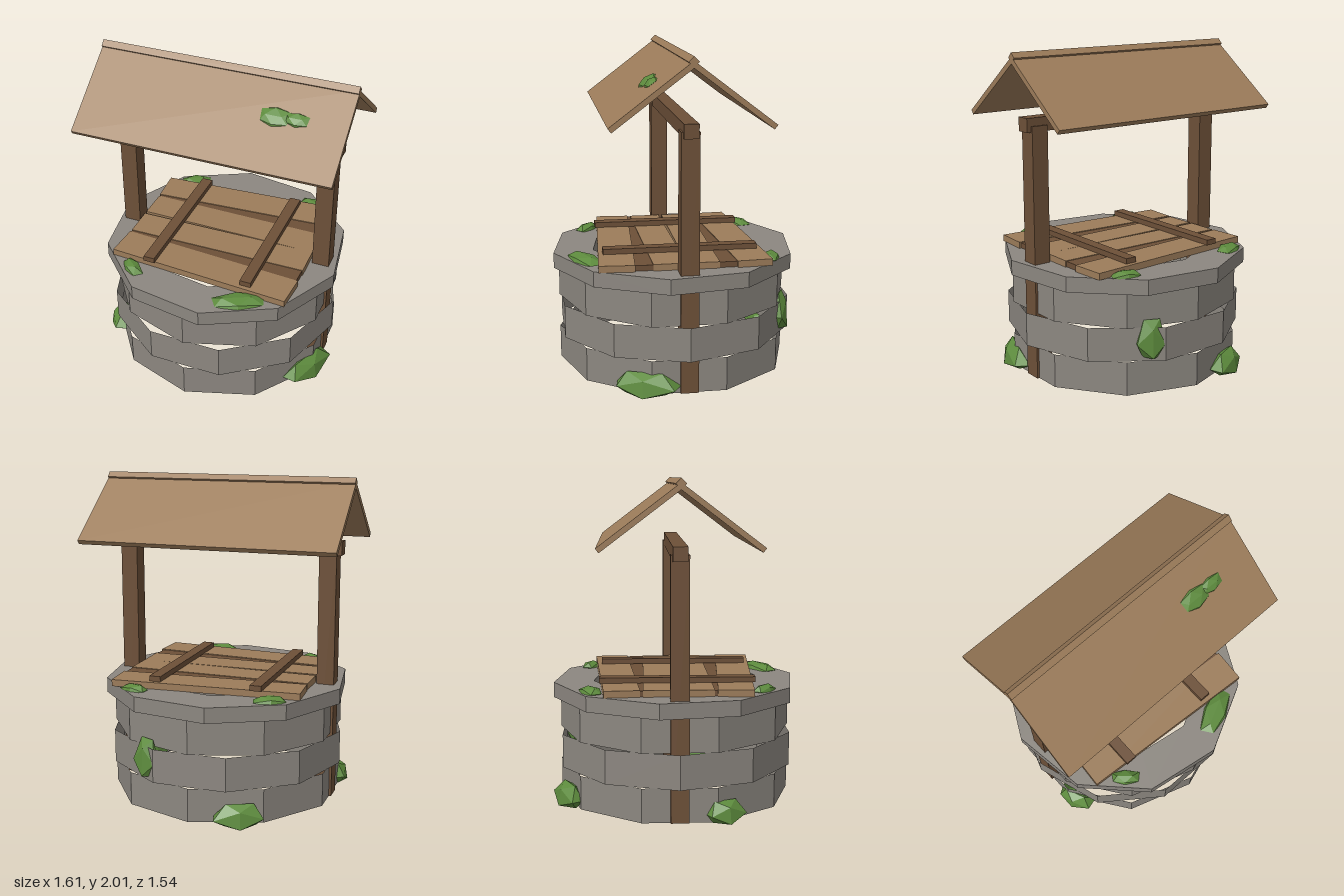
import * as THREE from 'three';

export function createModel() {
  const model = new THREE.Group();
  model.name = 'well';
  const mat = (name, color, side = THREE.FrontSide) => {
    const m = new THREE.MeshStandardMaterial({ color, side });
    m.name = name;
    return m;
  };
  const stone = mat('stone', 0x8c8780, THREE.DoubleSide);
  const lightWood = mat('lightWood', 0x9c7c5a);
  const darkWood = mat('darkWood', 0x6d5038);
  const moss = mat('moss', 0x5d8b3d);

  const add = (name, geometry, material, x = 0, y = 0, z = 0) => {
    const mesh = new THREE.Mesh(geometry, material);
    mesh.name = name;
    mesh.position.set(x, y, z);
    model.add(mesh);
    return mesh;
  };
  const box = (name, material, w, h, d, x, y, z) =>
    add(name, new THREE.BoxGeometry(w, h, d), material, x, y, z);

  // Wall: three open ten-sided courses, the middle one turned half a side
  const courses = [
    [0.73, 0, 0.21, 0],
    [0.745, 0.21, 0.42, Math.PI / 10],
    [0.73, 0.42, 0.64, 0],
  ];
  for (const [r, y0, y1, turn] of courses) {
    const g = new THREE.CylinderGeometry(r, r, y1 - y0, 10, 1, true, turn).toNonIndexed();
    g.computeVertexNormals();
    add('stoneCourse', g, stone, 0, (y0 + y1) / 2, 0);
  }

  // Rim: flat ten-sided ring
  const decagon = (r) => Array.from({ length: 10 }, (_, i) => {
    const a = Math.PI * (0.05 + i / 5);
    return new THREE.Vector2(r * Math.sin(a), r * Math.cos(a));
  });
  const rimShape = new THREE.Shape(decagon(0.775));
  rimShape.holes.push(new THREE.Path(decagon(0.522)));
  const rim = new THREE.ExtrudeGeometry(rimShape, { depth: 0.095, bevelEnabled: false });
  rim.rotateX(Math.PI / 2);
  add('stoneRim', rim, stone, 0, 0.73, 0);

  // Posts and cross beam
  for (const s of [-1, 1]) box('post', darkWood, 0.108, 1.57, 0.11, s * 0.655, 0.785, 0);
  box('crossBeam', darkWood, 1.475, 0.085, 0.088, 0, 1.577, 0);

  // Roof slabs and ridge pole
  const pitch = Math.atan2(0.36, 0.475);
  const slabLength = Math.hypot(0.36, 0.475);
  for (const s of [-1, 1]) {
    const g = new THREE.BoxGeometry(1.61, 0.032, slabLength);
    g.translate(0, -0.016, slabLength / 2);
    g.rotateX(pitch);
    if (s < 0) g.rotateY(Math.PI);
    add('roofSlab', g, lightWood, 0, 1.975, 0);
  }
  const ridge = box('ridgePole', lightWood, 1.61, 0.044, 0.044, 0, 1.969, 0);
  ridge.rotation.x = Math.PI / 4;

  // Lid: fanned planks with darker ones showing between them, and two battens
  for (const s of [-1, 1]) {
    const outer = box('lidPlank', lightWood, 1.18, 0.042, 0.215, -0.005, 0.75, s * 0.375);
    outer.rotation.y = -s * 0.066;
    const inner = box('lidPlank', lightWood, 1.17, 0.04, 0.2, 0, 0.75, s * 0.105);
    inner.rotation.y = s * 0.01;
    const between = box('darkLidPlank', darkWood, 1.16, 0.034, 0.2, 0, 0.749, s * 0.22);
    between.rotation.y = -s * 0.02;
  }
  for (const x of [-0.335, 0.308]) box('lidBatten', darkWood, 0.072, 0.034, 0.95, x, 0.787, 0);

  // Moss: squashed faceted lumps, [x, y, z, half width, half height, half depth, turn]
  const lump = (w, h, d) => {
    const g = new THREE.IcosahedronGeometry(1, 0);
    const p = g.attributes.position;
    for (let i = 0; i < p.count; i++) {
      const x = p.getX(i), y = p.getY(i), z = p.getZ(i);
      const k = 1 + 0.12 * Math.sin(5 * x + 3 * y + 4 * z);
      p.setXYZ(i, x * k * w, Math.max(y, -0.5) * h, z * k * d);
    }
    g.computeVertexNormals();
    return g;
  };
  const lumps = [
    [0.665, 0.045, 0.26, 0.22, 0.1, 0.085, 1.2],
    [-0.665, 0.045, 0.27, 0.14, 0.095, 0.08, -1.18],
    [-0.3, 0.045, -0.665, 0.17, 0.1, 0.08, 0.43],
    [0.29, 0.32, -0.645, 0.1, 0.17, 0.055, -0.42],
    [-0.44, 0.735, -0.52, 0.11, 0.033, 0.07, 0.4],
    [0.405, 0.735, -0.55, 0.1, 0.033, 0.06, -0.3],
    [-0.43, 0.735, 0.52, 0.1, 0.038, 0.055, -0.7],
    [0.3, 0.735, 0.585, 0.18, 0.036, 0.085, 0.45],
  ];
  for (const [x, y, z, w, h, d, turn] of lumps) {
    add('mossLump', lump(w, h, d), moss, x, y, z).rotation.y = turn;
  }
  for (const [x, z, w, d] of [[0.37, 0.205, 0.1, 0.07], [0.5, 0.2, 0.08, 0.05]]) {
    const m = add('roofMoss', lump(w, 0.02, d), moss, x, 1.978 - 0.758 * z, z);
    m.rotation.x = pitch;
  }
  return model;
}
